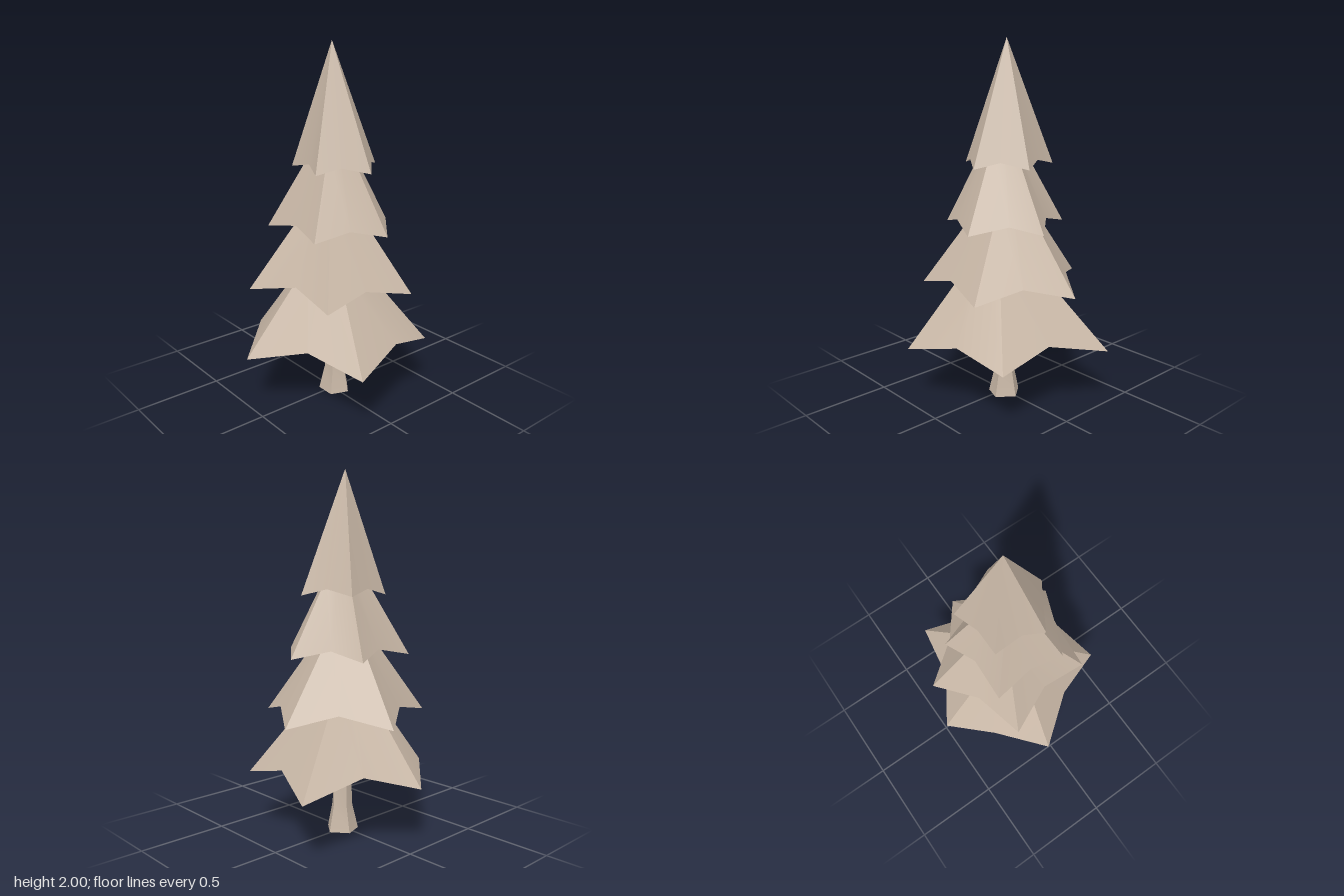
import * as THREE from 'three';
import { toCreasedNormals } from 'three/addons/utils/BufferGeometryUtils.js';

// Each tier: peak its sides aim at, height where they stop under the tier above,
// tip and notch heights, and a five-pointed star outline as x, z pairs (tip, notch, tip, ...)
const TIERS = [
  { name: 'topTier', peak: [-0.015, 2, -0.008], topY: 2, tipY: 1.335, notchY: 1.37,
    star: [[0.057, -0.26], [0.153, -0.145], [0.255, -0.05], [0.168, 0.08], [0.103, 0.197],
      [-0.013, 0.149], [-0.173, 0.144], [-0.18, 0], [-0.222, -0.155], [-0.07, -0.19]] },
  { name: 'upperTier', peak: [0.01, 1.63, 0], topY: 1.43, tipY: 1.003, notchY: 1.05,
    star: [[0.038, -0.35], [0.175, -0.235], [0.337, -0.098], [0.255, 0.09], [0.183, 0.27],
      [-0.012, 0.24], [-0.24, 0.265], [-0.233, 0.03], [-0.305, -0.158], [-0.12, -0.21]] },
  { name: 'lowerTier', peak: [-0.02, 1.31, -0.01], topY: 1.135, tipY: 0.669, notchY: 0.732,
    star: [[-0.07, -0.48], [0.16, -0.325], [0.404, -0.224], [0.337, 0.05], [0.332, 0.304],
      [0.055, 0.298], [-0.215, 0.418], [-0.293, 0.135], [-0.465, -0.097], [-0.233, -0.26]] },
  { name: 'bottomTier', peak: [0.01, 1.0, 0.03], topY: 0.83, tipY: 0.336, notchY: 0.414,
    star: [[-0.275, -0.543], [0.05, -0.41], [0.363, -0.393], [0.422, -0.1], [0.51, 0.22],
      [0.2, 0.335], [-0.07, 0.543], [-0.3, 0.295], [-0.51, 0.07], [-0.34, -0.185]] },
];

// Soft shading over shallow folds, sharp along the ridges
function geometryFrom(triangles) {
  const geometry = new THREE.BufferGeometry();
  geometry.setAttribute('position', new THREE.Float32BufferAttribute(triangles.flat(2), 3));
  return toCreasedNormals(geometry, 0.5);
}

// Band of triangles between two closed loops, facing outward when hi is above lo
function band(lo, hi) {
  return lo.flatMap((a, i) => {
    const j = (i + 1) % lo.length;
    return [[a, hi[i], hi[j]], [a, hi[j], lo[j]]];
  });
}

const rimOf = ({ star, tipY, notchY }) => star.map(([x, z], i) => [x, i % 2 ? notchY : tipY, z]);

// Loop where the sides of a tier end, on the lines from rim to peak
const topLoop = (tier) => rimOf(tier).map((p) => {
  const t = (tier.topY - p[1]) / (tier.peak[1] - p[1]);
  return p.map((v, k) => v + (tier.peak[k] - v) * t);
});

// Star-shaped skirt whose hollow underside closes on the tier below, or on the trunk
function tierGeometry(tier, below) {
  const rim = rimOf(tier);
  const joint = below ? topLoop(below) : rim.map(([x, , z]) => [x * 0.1, 0.53, z * 0.1 - 0.02]);
  const sides = tier.topY === tier.peak[1]
    ? rim.map((a, i) => [tier.peak, rim[(i + 1) % rim.length], a])
    : band(rim, topLoop(tier));
  return geometryFrom([...sides, ...band(joint, rim)]);
}

// Five-sided trunk that flares at the foot
function trunkGeometry() {
  const foot = [[0.005, -0.108], [0.096, -0.038], [0.059, 0.06], [-0.05, 0.06], [-0.083, -0.038]];
  const ring = (y, s) => foot.map(([x, z]) => [0.005 + (x - 0.005) * s, y, -0.02 + (z + 0.02) * s]);
  const [base, flare, top] = [ring(0, 1), ring(0.15, 0.64), ring(0.54, 0.58)];
  const underside = base.map((a, i) => [[0.005, 0, -0.02], a, base[(i + 1) % 5]]);
  return geometryFrom([...band(base, flare), ...band(flare, top), ...underside]);
}

export function createModel() {
  const tree = new THREE.Group();
  tree.name = 'pineTree';
  const tan = new THREE.MeshStandardMaterial({ color: 0xc8b7a6 });
  tan.name = 'tan';

  const add = (name, geometry) => {
    const mesh = new THREE.Mesh(geometry, tan);
    mesh.name = name;
    tree.add(mesh);
  };
  add('trunk', trunkGeometry());
  TIERS.forEach((tier, i) => add(tier.name, tierGeometry(tier, TIERS[i + 1])));
  return tree;
}
